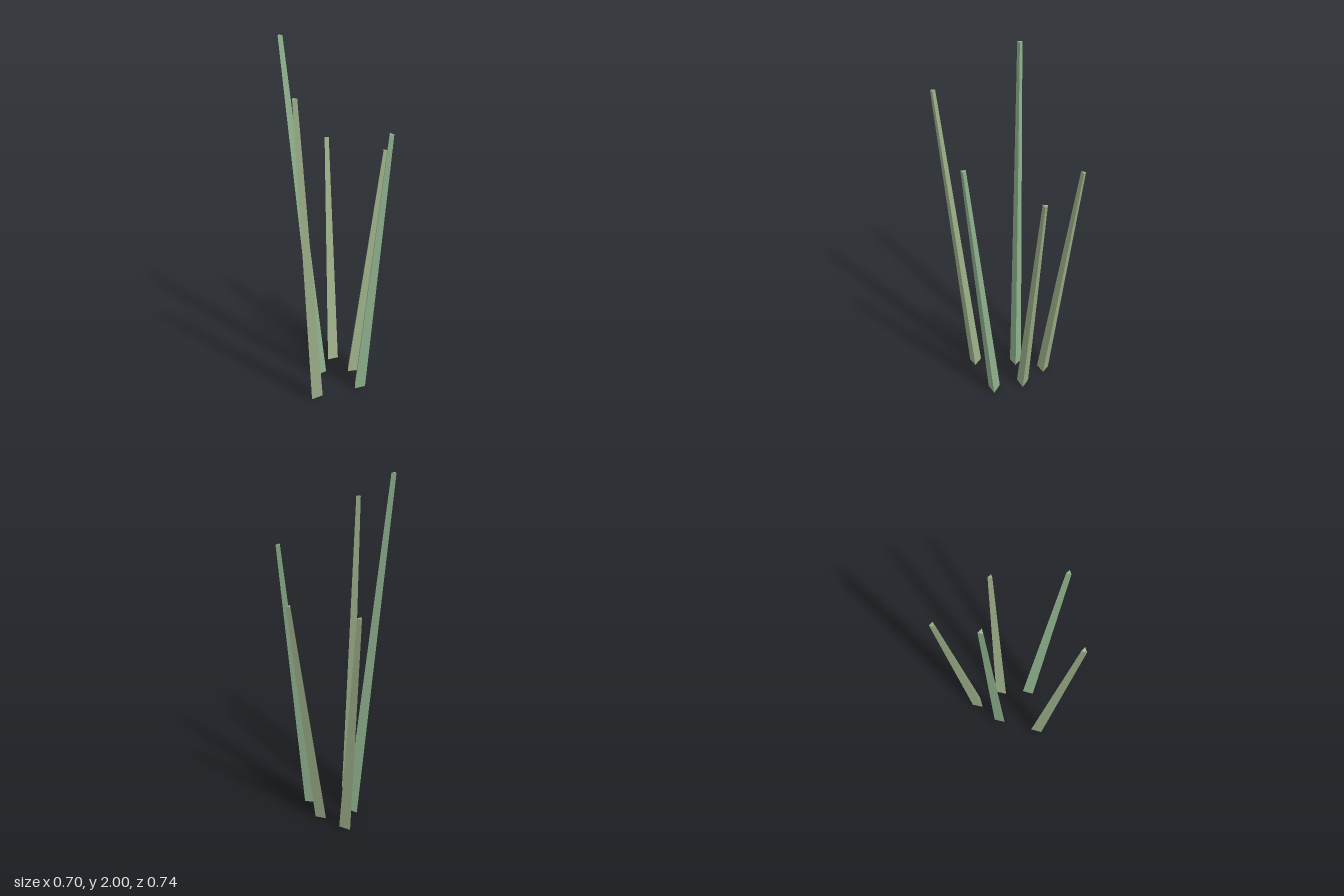
import * as THREE from 'three';

const GREEN = 0x8fb38e;
const SAGE = 0x9caf88;
const BASE_Y = 0.0055;

// name, colour, base x/z, tip x/y/z
const BLADES = [
  ['bladeTall', GREEN, [-0.046, -0.057], [-0.207, 1.999, -0.174]],
  ['bladeFrontRight', SAGE, [-0.175, 0.155], [-0.335, 1.784, 0.273]],
  ['bladeFront', GREEN, [0.091, 0.174], [0.152, 1.568, 0.363]],
  ['bladeLeft', SAGE, [0.136, 0.003], [0.334, 1.354, 0.002]],
  ['bladeBack', SAGE, [0.091, -0.169], [0.152, 1.354, -0.358]],
];

// Tapered three-sided blade leaning from its base to its tip, one corner facing back
function makeBlade(name, color, [bx, bz], tipPoint) {
  const base = new THREE.Vector3(bx, BASE_Y, bz);
  const tip = new THREE.Vector3(...tipPoint);
  const axis = tip.clone().sub(base);
  const blade = new THREE.Mesh(
    new THREE.CylinderGeometry(0.0156, 0.039, axis.length(), 3, 1, false, Math.PI),
    new THREE.MeshStandardMaterial({ color, flatShading: true })
  );
  blade.name = name;
  blade.position.copy(base).add(tip).multiplyScalar(0.5);
  blade.quaternion.setFromUnitVectors(new THREE.Vector3(0, 1, 0), axis.normalize());
  return blade;
}

export function createModel() {
  const tuft = new THREE.Group();
  tuft.name = 'grassTuft';
  for (const spec of BLADES) tuft.add(makeBlade(...spec));
  return tuft;
}
